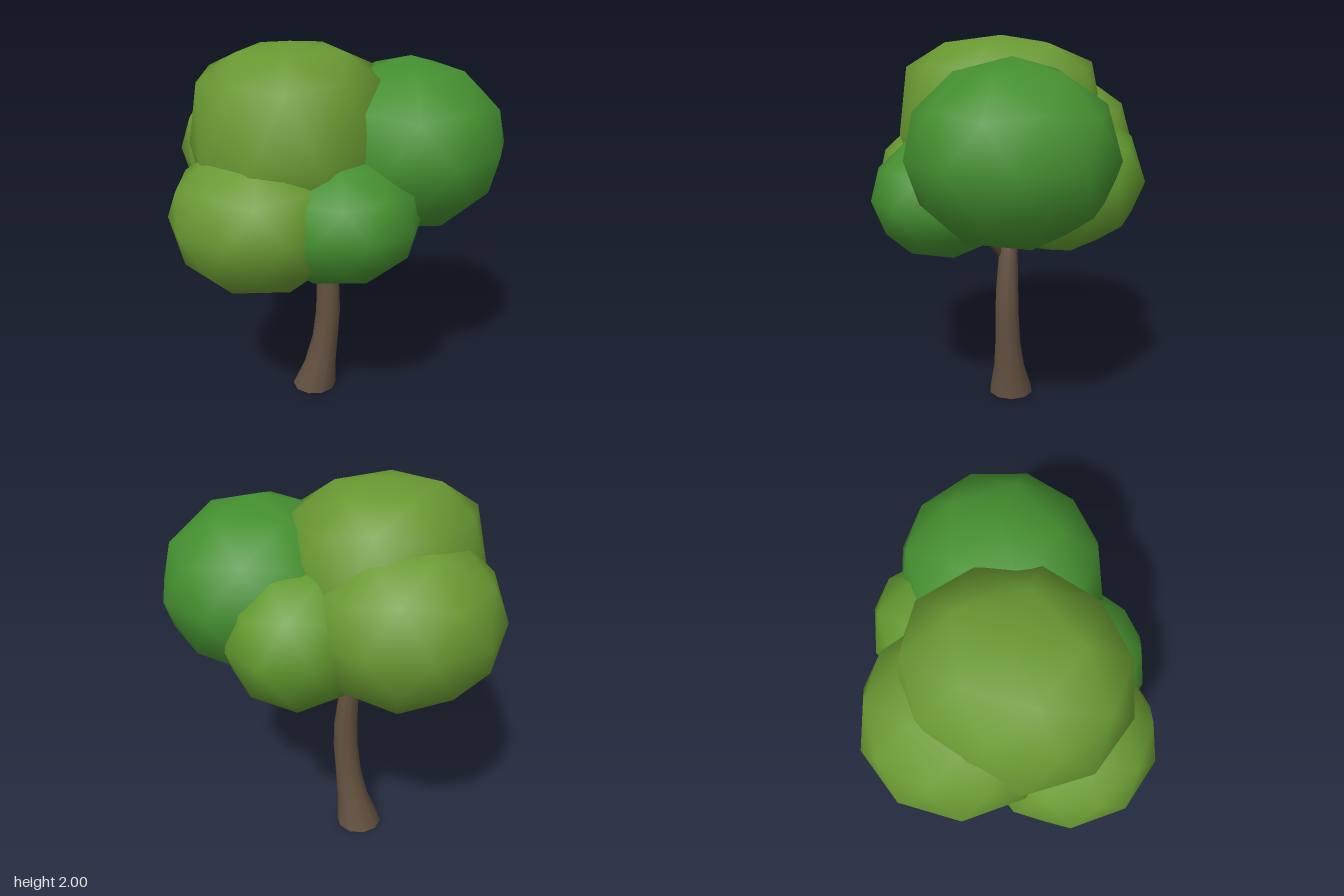
import * as THREE from 'three';
import { mergeVertices, toCreasedNormals } from 'three/addons/utils/BufferGeometryUtils.js';

const OLIVE = 0x6a9a32, LIME = 0x62992e, GREEN = 0x459030, BARK = 0x635140, DARK_BARK = 0x45362e;

// Drop uv and normals so that shared corners weld together
function weld(geometry) {
  geometry.deleteAttribute('uv');
  geometry.deleteAttribute('normal');
  return mergeVertices(geometry, 1e-4);
}

// Smooth-shaded 80-sided ball with a corner at each pole; crown > 0 flattens its top
function leafGeometry(radii, crown) {
  const g = weld(new THREE.IcosahedronGeometry(1, 1));
  g.rotateZ(Math.atan(2 / (1 + Math.sqrt(5))));
  g.rotateY(Math.PI);
  if (crown) {
    const p = g.attributes.position;
    for (let i = 0; i < p.count; i++) {
      const y = p.getY(i);
      if (y > 1e-3) p.setY(i, Math.pow(y, 1 - crown));
    }
  }
  g.scale(...radii);
  g.computeVertexNormals();
  return g;
}

// Bent, tapering trunk: each row is [y, centre x, centre z, radius]
function trunkGeometry(rows) {
  const n = rows.length - 1;
  const g = new THREE.CylinderGeometry(1, 1, n, 10, n);
  const p = g.attributes.position;
  for (let i = 0; i < p.count; i++) {
    const [y, cx, cz, r] = rows[Math.round(p.getY(i) + n / 2)];
    p.setXYZ(i, cx + p.getX(i) * r, y, cz + p.getZ(i) * r);
  }
  return toCreasedNormals(weld(g), 0.9);
}

export function createModel() {
  const tree = new THREE.Group();
  tree.name = 'tree';
  const add = (name, geometry, color, parent = tree) => {
    const mesh = new THREE.Mesh(geometry, new THREE.MeshStandardMaterial({ color }));
    mesh.name = name;
    parent.add(mesh);
    return mesh;
  };

  // Trunk
  add('trunk', trunkGeometry([
    [0, -0.117, -0.055, 0.125],
    [0.16, -0.08, -0.055, 0.09],
    [0.33, -0.05, -0.055, 0.073],
    [0.5, -0.033, -0.055, 0.068],
    [0.64, -0.033, -0.055, 0.064],
    [0.85, -0.052, -0.055, 0.053],
    [0.98, -0.08, -0.055, 0.048],
    [1.15, -0.12, -0.055, 0.04],
  ]), BARK);

  // Short branches reaching up into the leaves
  const branches = [
    ['frontBranch', [-0.05, 0.82, -0.04], [0.05, 1.05, 0.12]],
    ['backBranch', [-0.06, 0.86, -0.06], [0.03, 1.12, -0.2]],
  ];
  for (const [name, from, to] of branches) {
    const a = new THREE.Vector3(...from), b = new THREE.Vector3(...to);
    const dir = b.clone().sub(a);
    const branch = add(name, new THREE.CylinderGeometry(0.018, 0.024, dir.length(), 6), DARK_BARK);
    branch.position.copy(a).lerp(b, 0.5);
    branch.quaternion.setFromUnitVectors(new THREE.Vector3(0, 1, 0), dir.normalize());
  }

  // Leaf clumps: name, centre, radii, colour, crown flattening
  const canopy = new THREE.Group();
  canopy.name = 'canopy';
  tree.add(canopy);
  const clumps = [
    ['topLeaves', [-0.2, 1.5, 0.035], [0.51, 0.5, 0.57], OLIVE, 0.5],
    ['rightLeaves', [0.36, 1.47, -0.195], [0.51, 0.45, 0.515], GREEN, 0],
    ['frontLeftLeaves', [-0.275, 1.19, 0.32], [0.455, 0.39, 0.455], OLIVE, 0],
    ['frontRightLeaves', [0.1, 1.19, 0.25], [0.42, 0.33, 0.375], GREEN, 0],
    ['backLeftLeaves', [-0.38, 1.4, -0.17], [0.494, 0.44, 0.49], OLIVE, 0],
    ['backLeaves', [0.06, 1.32, -0.31], [0.38, 0.39, 0.47], LIME, 0],
  ];
  for (const [name, centre, radii, color, crown] of clumps)
    add(name, leafGeometry(radii, crown), color, canopy).position.set(...centre);

  return tree;
}
